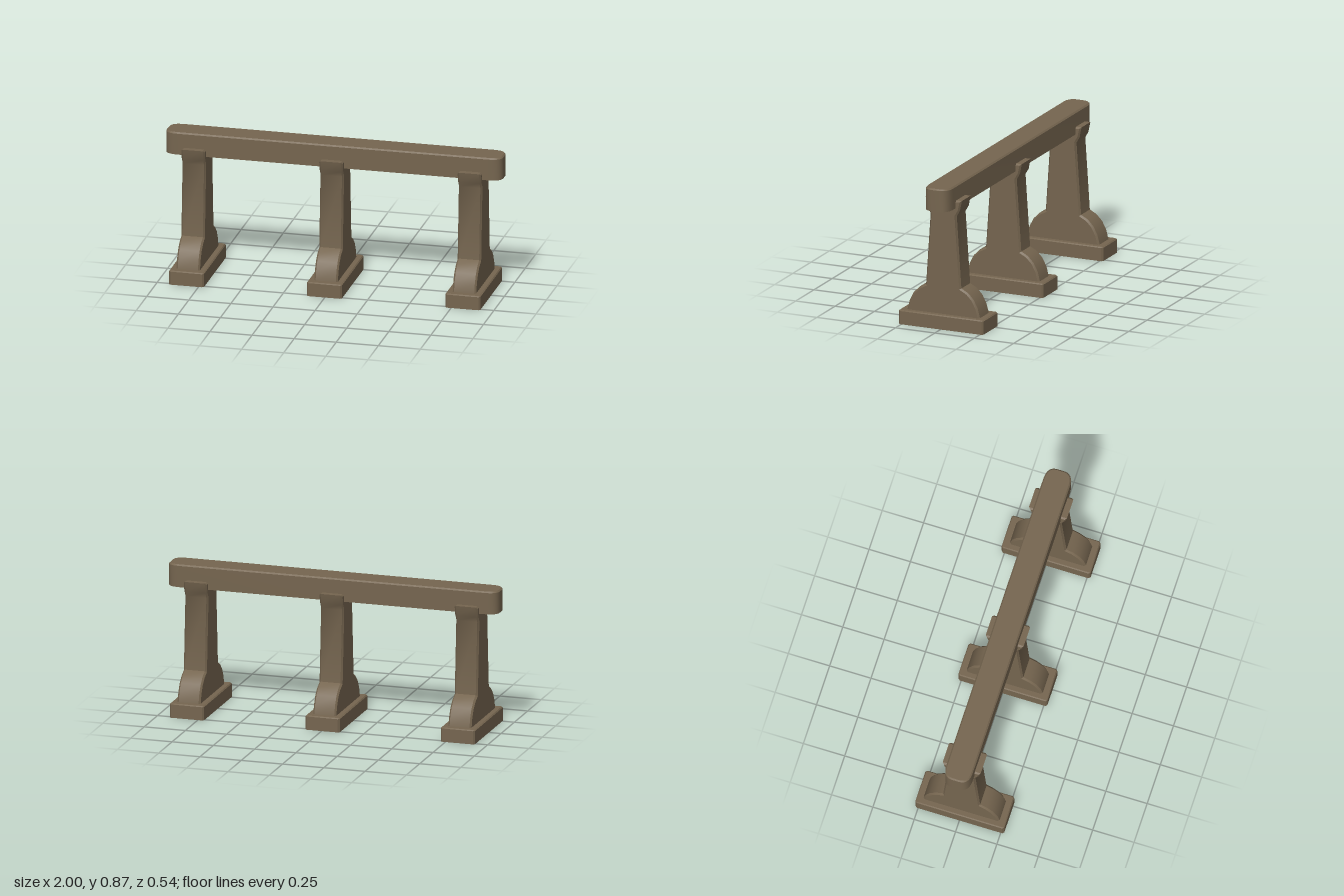
import * as THREE from 'three';
import { toCreasedNormals } from 'three/addons/utils/BufferGeometryUtils.js';

// Extrude a shape with one chamfer inside its outline; flatStart leaves the first end square.
function chamferedExtrude(shape, depth, chamfer, flatStart) {
  const geo = new THREE.ExtrudeGeometry(shape, {
    depth: depth - chamfer * (flatStart ? 1 : 2),
    bevelEnabled: true, bevelSegments: 1, bevelThickness: chamfer,
    bevelSize: chamfer, bevelOffset: -chamfer, curveSegments: 8,
  });
  if (flatStart) {
    const p = geo.attributes.position;
    for (let i = 0; i < p.count; i++) p.setZ(i, Math.max(0, p.getZ(i)));
  } else {
    geo.translate(0, 0, chamfer - depth / 2);
  }
  return geo;
}

// Rectangle in plan whose corners are cut back by cx along x and cz along z.
function cornerShape(hx, hz, cx, cz, rounded) {
  const s = new THREE.Shape();
  const corner = (x, z, ex, ez) => {
    if (rounded) s.quadraticCurveTo(x, z, ex, ez);
    else s.lineTo(ex, ez);
  };
  s.moveTo(-hx + cx, -hz);
  s.lineTo(hx - cx, -hz);
  corner(hx, -hz, hx, -hz + cz);
  s.lineTo(hx, hz - cz);
  corner(hx, hz, hx - cx, hz);
  s.lineTo(-hx + cx, hz);
  corner(-hx, hz, -hx, hz - cz);
  s.lineTo(-hx, -hz + cz);
  corner(-hx, -hz, -hx + cx, -hz);
  return s;
}

export function createModel() {
  const group = new THREE.Group();
  const stone = new THREE.MeshStandardMaterial({ color: 0x75654f });
  stone.name = 'brown stone';

  const add = (parent, name, geo) => {
    const mesh = new THREE.Mesh(toCreasedNormals(geo, 0.6), stone);
    mesh.name = name;
    parent.add(mesh);
    return mesh;
  };

  // Long rail with rounded ends and a chamfered top edge
  const rail = chamferedExtrude(cornerShape(1, 0.08, 0.08, 0.06, true), 0.135, 0.008, true);
  rail.rotateX(-Math.PI / 2).translate(0, 0.73, 0);
  add(group, 'rail', rail);

  // Plinth with chamfered corners and top edge
  const plinth = chamferedExtrude(cornerShape(0.104, 0.269, 0.01, 0.01, false), 0.085, 0.006, true);
  plinth.rotateX(-Math.PI / 2);

  // Post side profile (z, y): rounded foot, tapered shaft, flared saddle
  const half = [
    [0.232, 0.07], [0.23, 0.085], [0.216, 0.14], [0.19, 0.19], [0.154, 0.227], [0.112, 0.249],
    [0.083, 0.68], [0.103, 0.715], [0.115, 0.775],
  ];
  const outline = [...half, ...half.map(([z, y]) => [-z, y]).reverse()];
  const profile = new THREE.Shape(outline.map(([z, y]) => new THREE.Vector2(z, y)));
  const post = chamferedExtrude(profile, 0.14, 0.01, false);
  post.rotateY(Math.PI / 2);

  // Three matching supports along the rail
  for (const [name, x] of [['rightSupport', -0.823], ['middleSupport', -0.004], ['leftSupport', 0.818]]) {
    const support = new THREE.Group();
    support.name = name;
    support.position.x = x;
    add(support, 'plinth', plinth);
    add(support, 'post', post);
    group.add(support);
  }
  return group;
}
